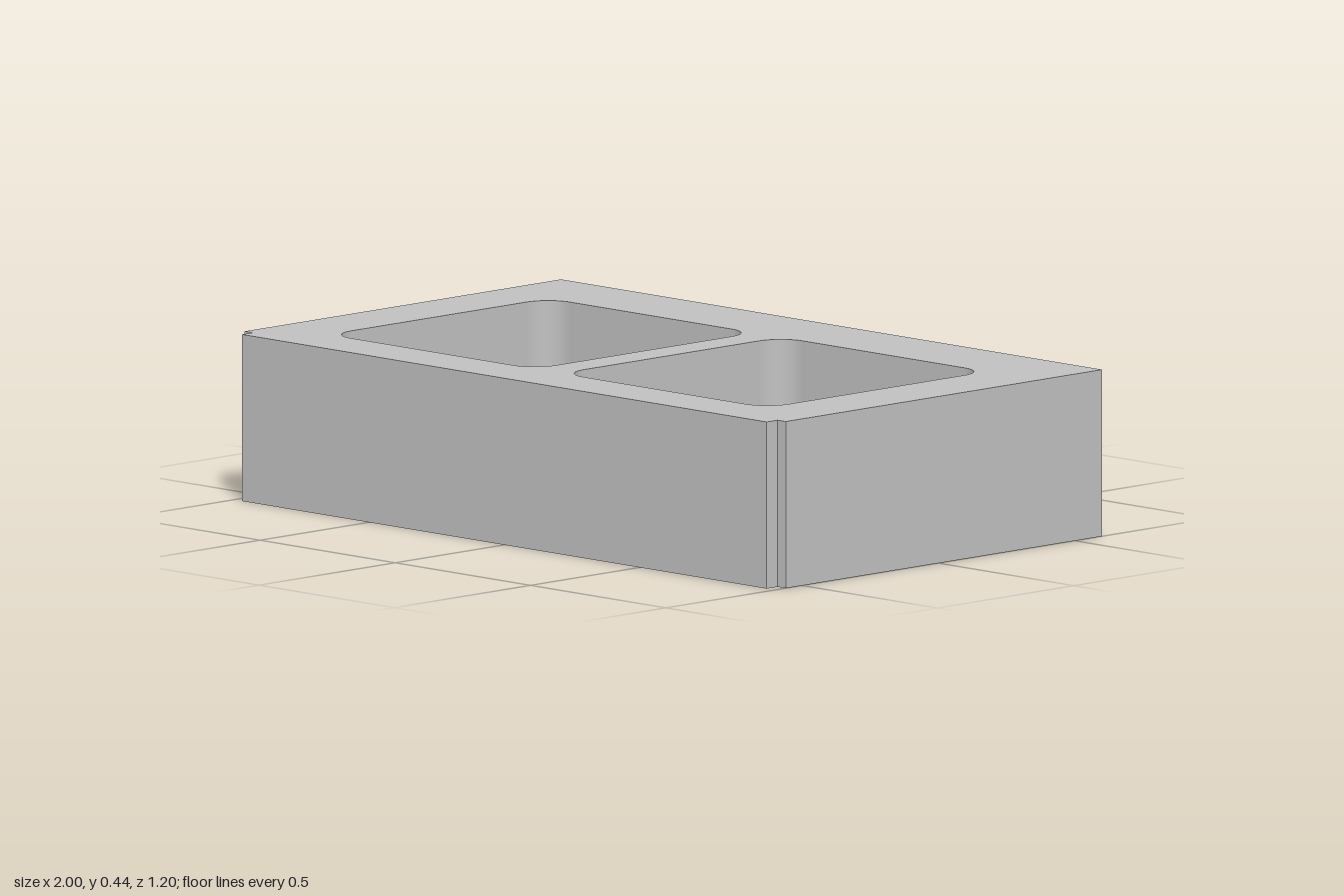
import * as THREE from 'three';

const H = 0.44, FLOOR = 0.09;              // rim height, bowl floor height
const R = 0.08;                            // bowl corner and floor fillet radius
const HW = 0.38, HD = 0.4025;              // bowl half width and half depth
const CX = 0.43, CZ = 0.0375;              // bowl centre
const DRAIN_R = 0.093, DRAIN_DEPTH = 0.02;
const ARC = 10;

// Body outline as [x, z], counter-clockwise from above, with notched front corners
const outline = [
  [-0.97, 0.6], [0.97, 0.6], [0.97, 0.56], [1, 0.56],
  [1, -0.6], [-1, -0.6], [-1, 0.56], [-0.97, 0.56],
];

// Rounded-rectangle loop: corner centre plus outward direction for every point
function bowlLoop() {
  const pts = [];
  [[1, 1], [-1, 1], [-1, -1], [1, -1]].forEach(([sx, sz], q) => {
    for (let i = 0; i <= ARC; i++) {
      const a = (q + i / ARC) * Math.PI / 2;
      pts.push({ x: sx * (HW - R), z: sz * (HD - R), dx: Math.cos(a), dz: Math.sin(a) });
    }
  });
  return pts;
}

// Upright walls that roll into the floor through a quarter-round fillet
function bowlWallGeometry() {
  const loop = bowlLoop(), n = loop.length;
  const rings = [{ y: H, t: 0 }];
  for (let i = 0; i <= ARC; i++) {
    const t = (i / ARC) * Math.PI / 2;
    rings.push({ y: FLOOR + R * (1 - Math.sin(t)), t });
  }
  const pos = [], nor = [], idx = [];
  rings.forEach(({ y, t }, j) => {
    const c = Math.cos(t), s = Math.sin(t);
    loop.forEach((p, i) => {
      pos.push(p.x + R * c * p.dx, y, p.z + R * c * p.dz);
      nor.push(-c * p.dx, s, -c * p.dz);
      if (j === rings.length - 1) return;
      const a = j * n + i, b = j * n + (i + 1) % n;
      idx.push(a, b, a + n, b, b + n, a + n);
    });
  });
  const g = new THREE.BufferGeometry();
  g.setAttribute('position', new THREE.Float32BufferAttribute(pos, 3));
  g.setAttribute('normal', new THREE.Float32BufferAttribute(nor, 3));
  g.setIndex(idx);
  return g;
}

export function createModel() {
  const model = new THREE.Group();
  model.name = 'doubleBowlSink';
  const steel = new THREE.MeshStandardMaterial({ color: 0xc0c0c0, side: THREE.DoubleSide });
  steel.name = 'grey';

  const add = (parent, name, geometry, x = 0, y = 0, z = 0) => {
    const mesh = new THREE.Mesh(geometry, steel);
    mesh.name = name;
    mesh.position.set(x, y, z);
    parent.add(mesh);
    return mesh;
  };

  // Rim: flat top with the two bowl openings
  const rim = new THREE.Shape(outline.map(([x, z]) => new THREE.Vector2(x, -z)));
  for (const side of [-1, 1]) {
    rim.holes.push(new THREE.Path(bowlLoop().map(p =>
      new THREE.Vector2(side * CX + p.x + R * p.dx, -(CZ + p.z + R * p.dz)))));
  }
  add(model, 'rim', new THREE.ShapeGeometry(rim).rotateX(-Math.PI / 2), 0, H, 0);

  // Flat underside
  const base = new THREE.Shape(outline.map(([x, z]) => new THREE.Vector2(x, z)));
  add(model, 'underside', new THREE.ShapeGeometry(base).rotateX(Math.PI / 2));

  // Outer walls, one panel for each outline edge
  const walls = new THREE.Group();
  walls.name = 'outerWalls';
  model.add(walls);
  outline.forEach(([ax, az], i) => {
    const [bx, bz] = outline[(i + 1) % outline.length];
    const panel = add(walls, 'wallPanel',
      new THREE.PlaneGeometry(Math.hypot(bx - ax, bz - az), H),
      (ax + bx) / 2, H / 2, (az + bz) / 2);
    panel.rotation.y = Math.atan2(-(bz - az), bx - ax);
  });

  // Bowls: walls, floor with drain opening, shallow drain recess
  const wallGeo = bowlWallGeometry();
  const w = HW - R, d = HD - R;
  const floor = new THREE.Shape([[-w, -d], [w, -d], [w, d], [-w, d]]
    .map(([x, y]) => new THREE.Vector2(x, y)));
  floor.holes.push(new THREE.Path().absarc(0, 0, DRAIN_R, 0, Math.PI * 2, true));
  const floorGeo = new THREE.ShapeGeometry(floor, 24).rotateX(-Math.PI / 2);
  const drainGeo = new THREE.LatheGeometry([
    new THREE.Vector2(DRAIN_R, 0),
    new THREE.Vector2(DRAIN_R, -DRAIN_DEPTH),
    new THREE.Vector2(0, -DRAIN_DEPTH),
  ], 48).toNonIndexed();
  drainGeo.computeVertexNormals();

  for (const side of [-1, 1]) {
    const bowl = new THREE.Group();
    bowl.name = side > 0 ? 'leftBowl' : 'rightBowl';
    bowl.position.set(side * CX, 0, CZ);
    add(bowl, 'bowlWalls', wallGeo);
    add(bowl, 'bowlFloor', floorGeo, 0, FLOOR, 0);
    add(bowl, 'drain', drainGeo, 0, FLOOR, 0);
    model.add(bowl);
  }
  return model;
}
